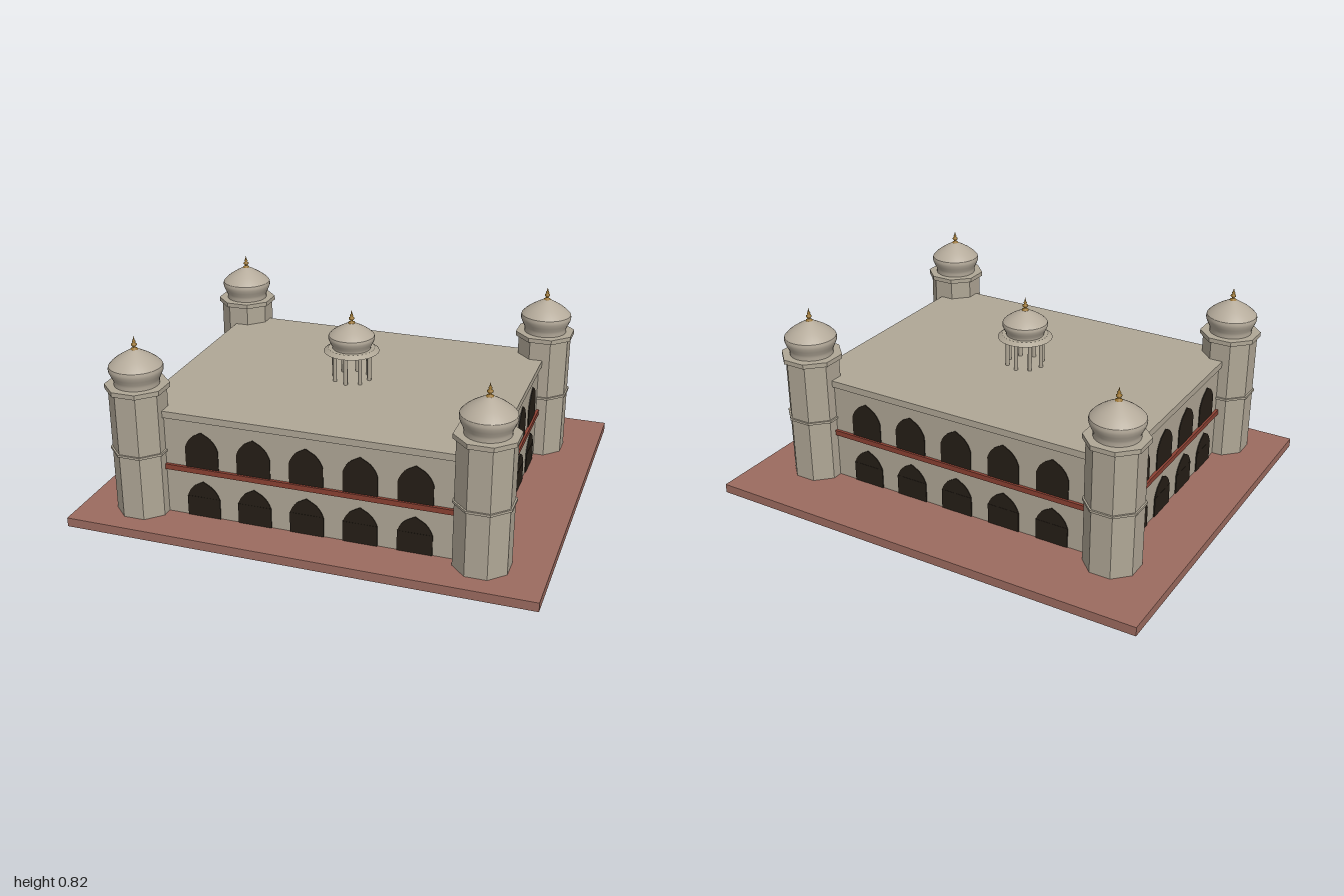
import * as THREE from 'three';

const mat = (color, extra = {}) => new THREE.MeshStandardMaterial({ color, ...extra });

export function createModel() {
  const root = new THREE.Group();
  const stone = mat(0xb0a796);
  const stoneFlat = mat(0xb0a796, { flatShading: true });
  const domeStone = mat(0xb5ab9b, { side: THREE.DoubleSide });
  const sandstone = mat(0x9c6b5f);
  const red = mat(0x8a4032);
  const dark = mat(0x251e16);
  const gold = mat(0x9a7430);

  const add = (parent, name, geo, material, x = 0, y = 0, z = 0) => {
    const mesh = new THREE.Mesh(geo, material);
    mesh.name = name;
    mesh.position.set(x, y, z);
    parent.add(mesh);
    return mesh;
  };
  // Box given by its bottom and top heights
  const slab = (parent, name, w, y0, y1, d, material) =>
    add(parent, name, new THREE.BoxGeometry(w, y1 - y0, d), material, 0, (y0 + y1) / 2, 0);
  // Octagonal prism with flats facing the axes
  const octagon = (parent, name, r, y0, y1) => {
    const geo = new THREE.CylinderGeometry(r, r, y1 - y0, 8).rotateY(Math.PI / 8);
    return add(parent, name, geo, stoneFlat, 0, (y0 + y1) / 2, 0);
  };
  const lathe = (points, segments) =>
    new THREE.LatheGeometry(points.map(([x, y]) => new THREE.Vector2(x, y)), segments);

  // Bulbous dome with a gold finial, y = 0 at the foot
  const makeDome = (radius, height) => {
    const dome = new THREE.Group();
    dome.name = 'dome';
    const lower = [[0.83, 0], [0.83, 0.1], [0.86, 0.18], [0.93, 0.29], [0.99, 0.4], [1, 0.48], [0.98, 0.55]];
    const upper = [[0.98, 0.55], [0.86, 0.65], [0.66, 0.77], [0.43, 0.88], [0.22, 0.97], [0.08, 1.02], [0, 1.05]];
    const scale = (pts) => pts.map(([r, y]) => [r * radius, y * height]);
    add(dome, 'domeBulb', lathe(scale(lower), 32), domeStone);
    add(dome, 'domeCrown', lathe(scale(upper), 32), domeStone);
    add(dome, 'finial', lathe([
      [0.016, -0.004], [0.014, 0.004], [0.006, 0.008], [0.006, 0.012], [0.012, 0.018],
      [0.012, 0.023], [0.005, 0.029], [0.008, 0.034], [0.004, 0.04], [0, 0.057],
    ], 12), gold, 0, height, 0);
    return dome;
  };

  // Plinth
  slab(root, 'plinth', 2, 0.0004, 0.04, 1.6667, sandstone);

  // Main block
  const hall = new THREE.Group();
  hall.name = 'hall';
  hall.position.z = 0.0667;
  root.add(hall);
  const halfX = 0.7333, halfZ = 0.5667;
  slab(hall, 'walls', halfX * 2, 0.001, 0.49, halfZ * 2, stone);
  slab(hall, 'parapet', 1.4934, 0.477, 0.5067, 1.16, stone);
  slab(hall, 'storeyBand', 1.4934, 0.2425, 0.2655, 1.16, red);

  // Pointed arch panel, y = 0 at the sill
  const archWidth = 0.147;
  const archGeometry = (h) => {
    const w = archWidth / 2;
    const s = new THREE.Shape();
    s.moveTo(-w, 0);
    s.lineTo(w, 0);
    s.lineTo(w, h * 0.54);
    s.quadraticCurveTo(w * 0.85, h * 0.76, w * 0.48, h * 0.88);
    s.lineTo(0, h);
    s.lineTo(-w * 0.48, h * 0.88);
    s.quadraticCurveTo(-w * 0.85, h * 0.76, -w, h * 0.54);
    return new THREE.ExtrudeGeometry(s, { depth: 0.01, bevelEnabled: false, curveSegments: 8 });
  };
  const lowerArch = archGeometry(0.165);
  const upperArch = archGeometry(0.165);
  const doorway = new THREE.BoxGeometry(archWidth, 0.13, 0.014);

  // Two-storey arcades on all four sides
  const arcades = [
    ['frontArcade', 0, halfZ, 5, 0.229],
    ['leftArcade', Math.PI / 2, halfX, 4, 0.22],
    ['backArcade', Math.PI, halfZ, 5, 0.229],
    ['rightArcade', -Math.PI / 2, halfX, 4, 0.22],
  ];
  for (const [name, angle, distance, count, spacing] of arcades) {
    const arcade = new THREE.Group();
    arcade.name = name;
    arcade.rotation.y = angle;
    for (let i = 0; i < count; i++) {
      const x = (i - (count - 1) / 2) * spacing;
      add(arcade, 'lowerArch', lowerArch, dark, x, 0.038, distance - 0.006);
      add(arcade, 'doorway', doorway, dark, x, 0.065, distance - 0.002);
      add(arcade, 'upperArch', upperArch, dark, x, 0.263, distance - 0.006);
    }
    hall.add(arcade);
  }

  // Corner towers
  for (const sx of [-1, 1]) {
    for (const sz of [-1, 1]) {
      const tower = new THREE.Group();
      tower.name = 'cornerTower';
      tower.position.set(sx * halfX, 0, sz * halfZ);
      octagon(tower, 'shaft', 0.12, 0, 0.6);
      octagon(tower, 'stringCourse', 0.1277, 0.3195, 0.3295);
      octagon(tower, 'towerCap', 0.1337, 0.592, 0.612);
      const dome = makeDome(0.1125, 0.148);
      dome.position.y = 0.612;
      tower.add(dome);
      hall.add(tower);
    }
  }

  // Open rooftop pavilion
  const pavilion = new THREE.Group();
  pavilion.name = 'roofPavilion';
  pavilion.position.y = 0.5067;
  const column = new THREE.CylinderGeometry(0.009, 0.009, 0.132, 10);
  for (let i = 0; i < 8; i++) {
    const a = (i * Math.PI) / 4;
    add(pavilion, 'column', column, stone, 0.08 * Math.cos(a), 0.066, 0.08 * Math.sin(a));
  }
  add(pavilion, 'eave', new THREE.CylinderGeometry(0.1, 0.12, 0.014, 32), stone, 0, 0.136, 0);
  const dome = makeDome(0.1, 0.12);
  dome.position.y = 0.134;
  pavilion.add(dome);
  hall.add(pavilion);

  return root;
}
